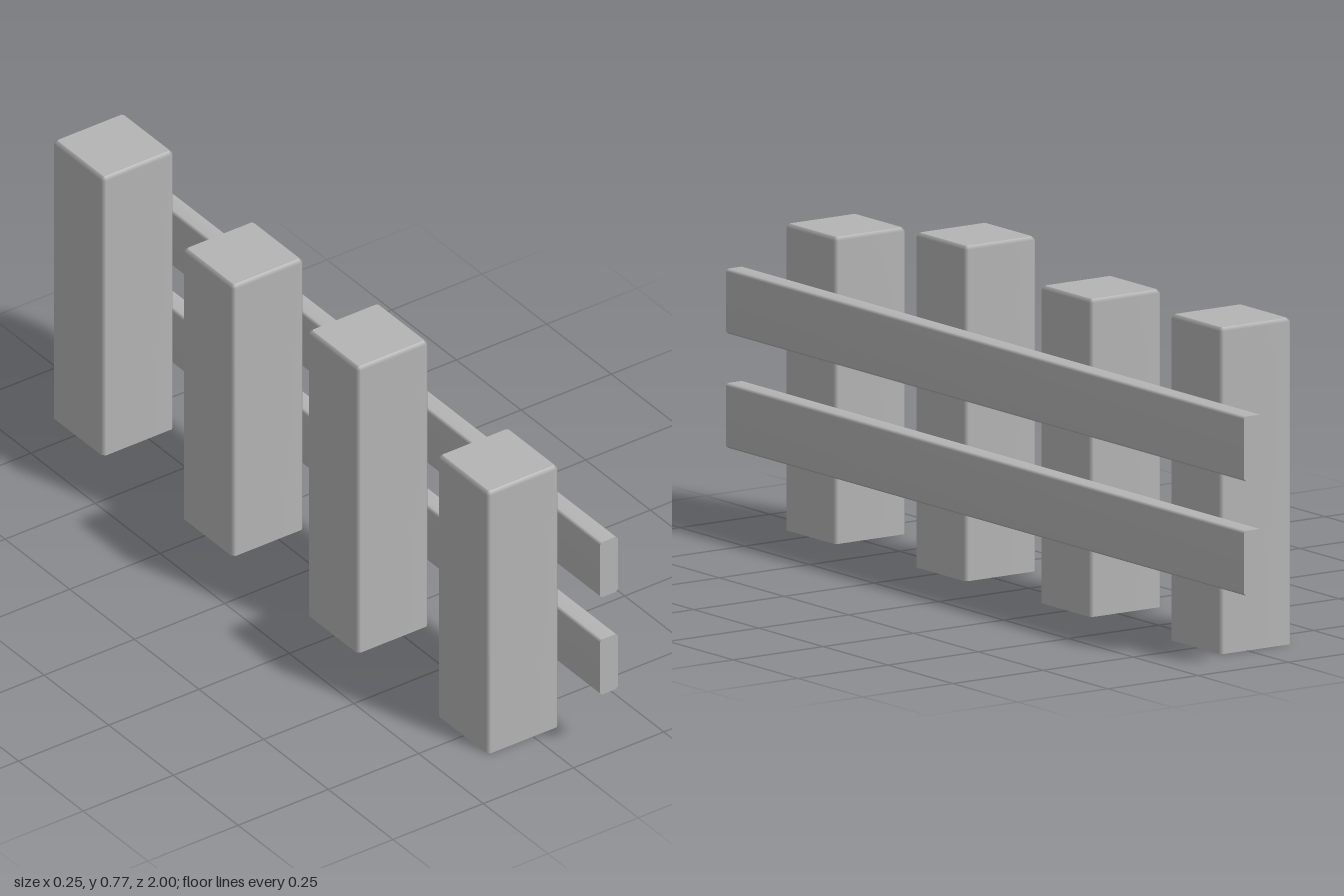
import * as THREE from 'three';

// Corner points of a chamfered rectangle at height y, counter-clockwise from above
function ring(hw, hd, c, y) {
  const pts = [];
  for (const [sx, sz, flip] of [[1, 1, 0], [1, -1, 1], [-1, -1, 0], [-1, 1, 1]]) {
    const pair = [[sx * (hw - c), y, sz * hd], [sx * hw, y, sz * (hd - c)]];
    pts.push(...(flip ? pair.reverse() : pair));
  }
  return pts;
}

// Skin a stack of rings; each listed cap closes an end with its own sharp rim
function loft(rings, { top = true, bottom = false } = {}) {
  const verts = rings.flat();
  const index = [];
  const n = 8;
  for (let r = 0; r < rings.length - 1; r++) {
    for (let i = 0; i < n; i++) {
      const a = r * n + i, b = r * n + (i + 1) % n;
      index.push(a, b, b + n, a, b + n, a + n);
    }
  }
  const cap = (points, up) => {
    const s = verts.length;
    verts.push(...points);
    for (let i = 1; i < n - 1; i++) index.push(s, s + (up ? i : i + 1), s + (up ? i + 1 : i));
  };
  if (top) cap(rings[rings.length - 1], true);
  if (bottom) cap(rings[0], false);
  const geo = new THREE.BufferGeometry();
  geo.setAttribute('position', new THREE.Float32BufferAttribute(verts.flat(), 3));
  geo.setIndex(index);
  geo.computeVertexNormals();
  return geo;
}

export function createModel() {
  const group = new THREE.Group();
  group.name = 'fence';
  const grey = new THREE.MeshStandardMaterial({ color: 0xb4b4b4, side: THREE.DoubleSide });
  grey.name = 'plain grey';

  // Square posts, open underneath, with a bevelled top: [z, height]
  const half = 0.099, bevel = 0.008;
  [[0.745, 0.705], [0.242, 0.77], [-0.241, 0.73], [-0.743, 0.75]].forEach(([z, h], i) => {
    const post = new THREE.Mesh(loft([
      ring(half, half, bevel, 0),
      ring(half, half, bevel, h - bevel),
      ring(half - bevel, half - bevel, bevel / 2, h),
    ]), grey);
    post.name = `post${i + 1}`;
    post.position.set(-0.026, 0, z);
    group.add(post);
  });

  // Two long rails on the +x side of the posts
  const railGeo = loft([ring(0.025, 0.0745, 0.006, -1), ring(0.025, 0.0745, 0.006, 1)], { bottom: true });
  railGeo.rotateX(Math.PI / 2);
  [['lowerRail', 0.242], ['upperRail', 0.505]].forEach(([name, y]) => {
    const rail = new THREE.Mesh(railGeo, grey);
    rail.name = name;
    rail.position.set(0.098, y, 0);
    group.add(rail);
  });

  return group;
}
